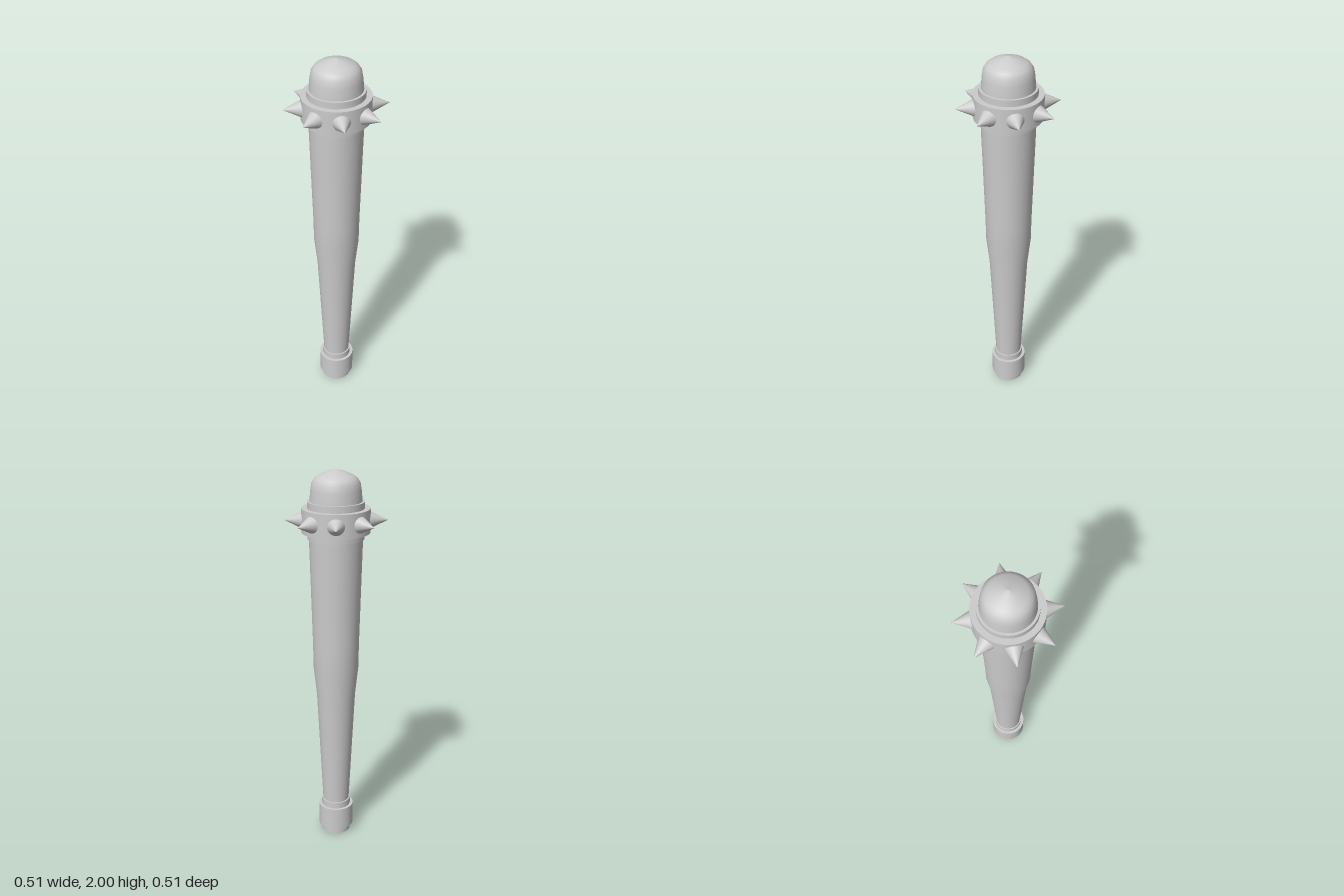
import * as THREE from 'three';

export function createModel() {
  const club = new THREE.Group();
  club.name = 'spikedClub';
  const material = new THREE.MeshStandardMaterial({ color: 0xcccccc });

  const add = (name, geometry, parent = club) => {
    const mesh = new THREE.Mesh(geometry, material);
    mesh.name = name;
    parent.add(mesh);
    return mesh;
  };
  const lathe = (name, points) =>
    add(name, new THREE.LatheGeometry(points.map(([r, y]) => new THREE.Vector2(r, y)), 48));
  const ring = (name, radius, bottom, top) => {
    const geometry = new THREE.CylinderGeometry(radius, radius, top - bottom, 48);
    add(name, geometry.translate(0, (bottom + top) / 2, 0));
  };

  // Tapered shaft, swelling above the grip
  lathe('shaft', [[0.069, 0.1], [0.07, 0.19], [0.101, 0.82], [0.117, 0.97], [0.119, 1.1], [0.135, 1.68]]);

  // Rounded head with a shallow peak
  lathe('headDome', [[0.131, 1.8], [0.13, 1.845], [0.125, 1.9], [0.119, 1.935], [0.106, 1.955],
    [0.088, 1.969], [0.045, 1.988], [0, 2]]);

  // Pommel and its two collars
  ring('pommelBase', 0.077, 0, 0.05);
  ring('pommel', 0.093, 0.037, 0.16);
  ring('pommelCollar', 0.077, 0.15, 0.195);

  // Spiked band between two thin rings
  ring('bandRings', 0.142, 1.66, 1.845);
  ring('spikeBand', 0.171, 1.692, 1.812);

  // Eight spikes pointing outwards
  const spikes = new THREE.Group();
  spikes.name = 'spikes';
  club.add(spikes);
  const cone = new THREE.ConeGeometry(0.05, 0.107, 32)
    .rotateZ(-Math.PI / 2)
    .translate(0.2035, 1.752, 0);
  for (let i = 0; i < 8; i++) {
    add('spike', cone, spikes).rotation.y = (i * Math.PI) / 4;
  }

  return club;
}
